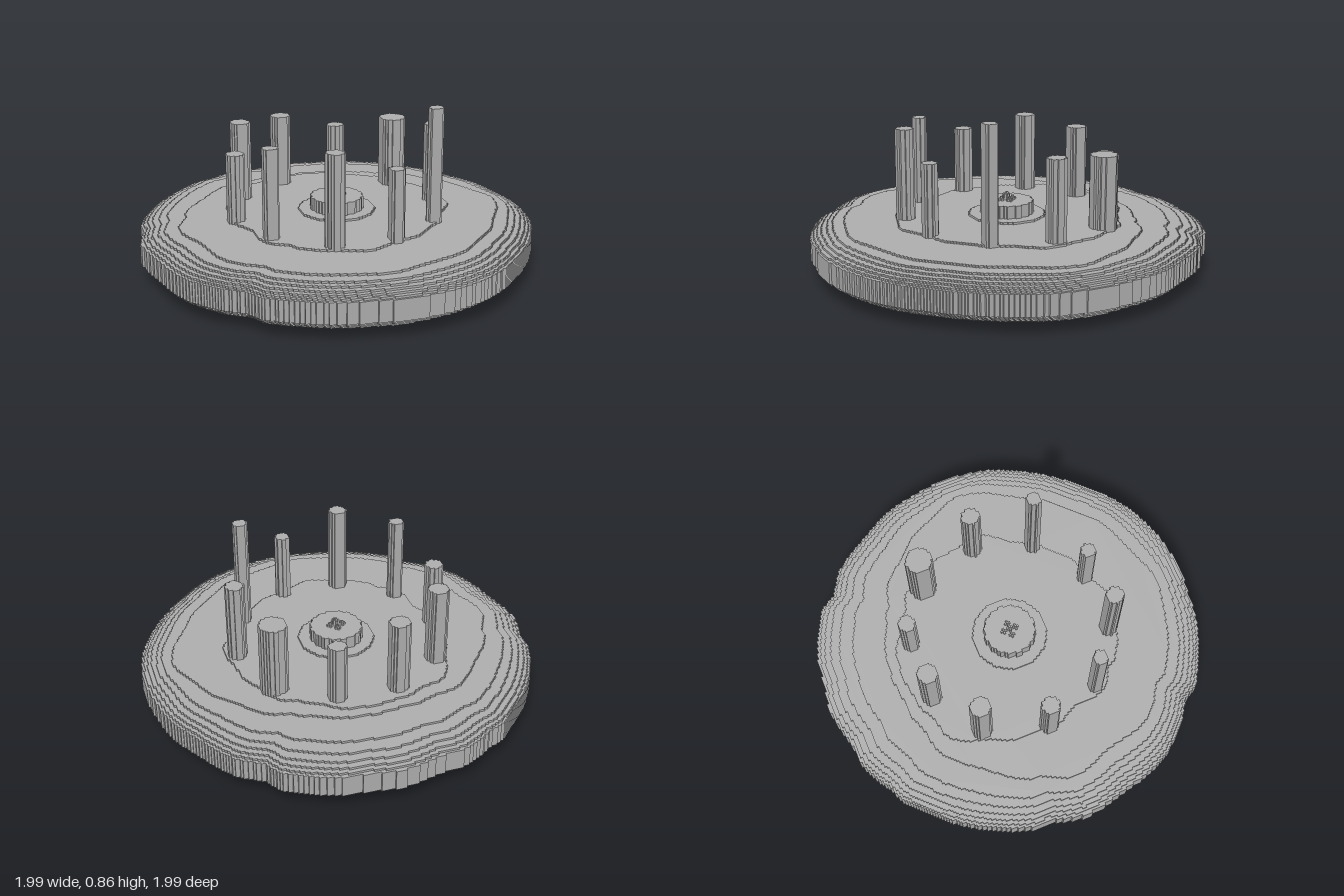
import * as THREE from 'three';

const S = 0.0107; // size of one block
const stone = new THREE.MeshStandardMaterial({ color: 0xb0b0b0 });
stone.name = 'grey stone';

// Island outline: [angle in degrees from +x towards +z, radius]
const OUTLINE = [
  [0, 0.99], [15, 0.99], [30, 0.975], [45, 0.97], [60, 0.99], [75, 0.995], [90, 0.99],
  [97, 0.98], [105, 0.985], [120, 0.985], [127, 0.99], [132, 0.957], [140, 0.985],
  [150, 1], [157, 0.995], [165, 0.98], [180, 0.998], [190, 0.97], [195, 0.99],
  [210, 0.99], [228, 0.99], [235, 1], [240, 0.985], [250, 1], [258, 0.975],
  [265, 0.99], [270, 0.998], [278, 0.985], [285, 1], [302, 1], [307, 0.96],
  [315, 0.985], [330, 0.97], [340, 0.985], [350, 0.98], [360, 0.99],
];

function outline(a) {
  const d = ((a * 180) / Math.PI + 360) % 360;
  const i = Math.max(1, OUTLINE.findIndex((p) => p[0] >= d));
  const [d0, r0] = OUTLINE[i - 1];
  const [d1, r1] = OUTLINE[i];
  return r0 + ((r1 - r0) * (d - d0)) / (d1 - d0);
}

// Block-stepped shape: the run of blocks inside the radius on each row
function steppedShape(radius, cx, cz) {
  const near = [];
  const far = [];
  const n = Math.ceil(1.01 / S);
  const inside = (i, j) => {
    const x = i * S - cx;
    const z = j * S - cz;
    return Math.hypot(x, z) <= radius(Math.atan2(z, x));
  };
  for (let j = -n; j <= n; j++) {
    let a = -n;
    let b = n;
    while (a <= n && !inside(a, j)) a++;
    if (a > n) continue;
    while (!inside(b, j)) b--;
    const z0 = -(j - 0.5) * S;
    const z1 = -(j + 0.5) * S;
    const x0 = (a - 0.5) * S;
    const x1 = (b + 0.5) * S;
    far.push(new THREE.Vector2(x1, z0), new THREE.Vector2(x1, z1));
    near.push(new THREE.Vector2(x0, z0), new THREE.Vector2(x0, z1));
  }
  // drop the doubled points where neighbouring rows line up
  const loop = [...far, ...near.reverse()];
  return new THREE.Shape(loop.filter((p, i) => !p.equals(loop[(i + 1) % loop.length])));
}

// Slab of block layers from layer k0 up to layer k1
function slab(parent, name, radius, k0, k1, cx = 0, cz = 0) {
  const fn = typeof radius === 'number' ? () => radius : radius;
  const geo = new THREE.ExtrudeGeometry(steppedShape(fn, cx, cz), {
    depth: (k1 - k0) * S, bevelEnabled: false,
  });
  geo.rotateX(-Math.PI / 2);
  geo.translate(0, k0 * S, 0);
  const mesh = new THREE.Mesh(geo, stone);
  mesh.name = name;
  parent.add(mesh);
}

function group(parent, name) {
  const g = new THREE.Group();
  g.name = name;
  parent.add(g);
  return g;
}

export function createModel() {
  const model = new THREE.Group();
  model.name = 'pillarIsland';

  // Terraced island: [first layer, end layer, radius, wobble, retreat at the back]
  const island = group(model, 'island');
  const layers = [
    [0, 1, 0.25, 0.004, 0], [1, 2, 0.62, 0.03, 0.02], [2, 3, 0.82, 0.03, 0.06],
    [3, 4, 0.875, 0.015, 0.03], [4, 5, 0.91, 0.01, 0.02], [5, 6, 0.94, 0.006, 0.01],
    [6, 7, 0.96, 0.004, 0], [7, 8, 0.975, 0.003, 0], [8, 9, 0.988, 0.002, 0],
    [9, 19, 1, 0, 0],
    [19, 20, 0.985, 0.003, 0], [20, 21, 0.967, 0.004, 0.005], [21, 22, 0.945, 0.006, 0.015],
    [22, 23, 0.915, 0.01, 0.03], [23, 24, 0.885, 0.015, 0.07], [24, 25, 0.82, 0.03, 0.17],
    [25, 26, 0.55, 0.04, -0.05],
  ];
  layers.forEach(([k0, k1, r, wobble, retreat]) => {
    const radius = (a) => {
      const wave = 0.5 * Math.sin(3 * a + 2) + 0.3 * Math.sin(8 * a + 1) + 0.2 * Math.sin(13 * a);
      const back = Math.max(0, -Math.sin(a));
      return outline(a) * (r + wobble * wave - retreat * back);
    };
    slab(island, 'islandLayer', radius, k0, k1);
  });

  // Ring of ten pillars: [x, z, radius, top]
  const pillars = group(model, 'pillars');
  [
    [-0.16, -0.49, 0.05, 0.655], [0.145, -0.49, 0.043, 0.58],
    [-0.42, -0.32, 0.05, 0.685], [0.41, -0.32, 0.066, 0.645],
    [-0.52, 0, 0.044, 0.625], [0.515, 0, 0.045, 0.685],
    [-0.42, 0.295, 0.036, 0.728], [0.41, 0.295, 0.036, 0.857],
    [-0.16, 0.483, 0.044, 0.735], [0.145, 0.483, 0.037, 0.635],
  ].forEach(([x, z, r, top]) => slab(pillars, 'pillar', r, 24, Math.round(top / S), x, z));

  // Two-step dais
  slab(model, 'daisStep', 0.19, 26, 27);
  slab(model, 'dais', 0.13, 26, 33);

  // Small flower on the dais
  const flower = group(model, 'flower');
  slab(flower, 'flowerStem', S * 0.5, 33, 37);
  slab(flower, 'flowerHeart', S * 1.1, 33, 36);
  for (const [x, z] of [[1, 0], [-1, 0], [0, 1], [0, -1]]) {
    slab(flower, 'petal', S * 1.1, 33, 34, x * 3 * S, z * 3 * S);
    slab(flower, 'petalTip', S * 0.5, 34, 35, x * 3 * S, z * 3 * S);
  }
  return model;
}
